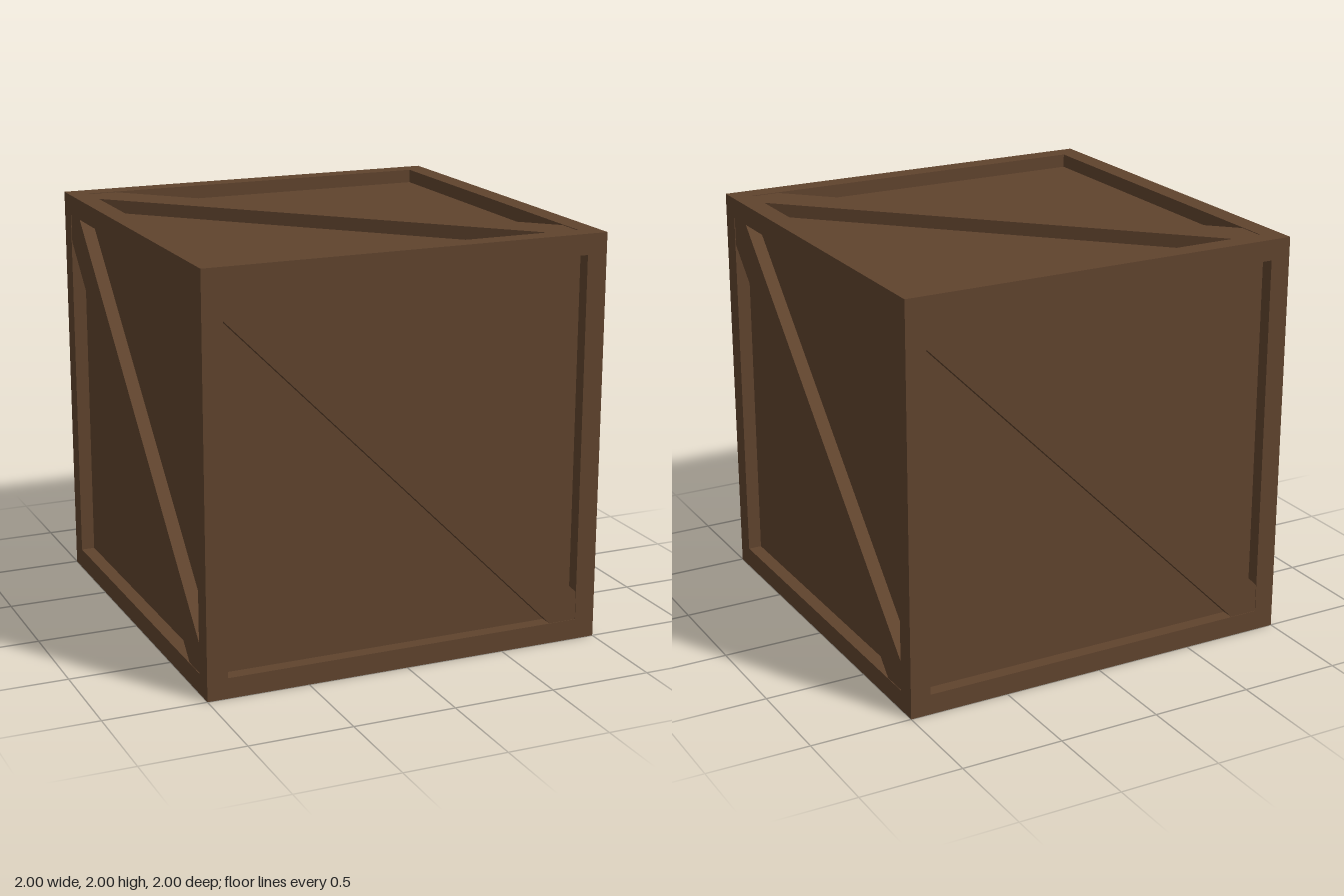
import * as THREE from 'three';

const HALF = 1;        // half the crate's size
const BEAM = 0.1;      // width of the frame beams
const RECESS = 0.067;  // depth of the panels behind the frame
const INNER = HALF - BEAM;

export function createModel() {
  const crate = new THREE.Group();
  crate.name = 'crate';
  const wood = new THREE.MeshStandardMaterial({ color: 0x5f432d });
  wood.name = 'brown wood';

  const add = (geometry, name, parent = crate) => {
    const mesh = new THREE.Mesh(geometry, wood);
    mesh.name = name;
    parent.add(mesh);
    return mesh;
  };

  // Inner box: its six sides are the recessed panels
  const core = 2 * (HALF - RECESS);
  add(new THREE.BoxGeometry(core, core, core), 'panels').position.y = HALF;

  // Frame: full-height posts, with rails fitted between them
  const c = HALF - BEAM / 2;
  for (const a of [-c, c]) {
    for (const b of [-c, c]) {
      add(new THREE.BoxGeometry(BEAM, 2 * HALF, BEAM), 'cornerPost').position.set(a, HALF, b);
      add(new THREE.BoxGeometry(2 * INNER, BEAM, BEAM), 'crossRail').position.set(0, HALF + a, b);
      add(new THREE.BoxGeometry(BEAM, BEAM, 2 * INNER), 'sideRail').position.set(a, HALF + b, 0);
    }
  }

  // Diagonal plank, trimmed to the corners of the frame opening
  const cut = INNER - 0.14;
  const outline = new THREE.Shape([
    [-INNER, INNER], [-INNER, cut], [cut, -INNER],
    [INNER, -INNER], [INNER, -cut], [-cut, INNER],
  ].map(([x, y]) => new THREE.Vector2(x, y)));
  const plank = new THREE.ExtrudeGeometry(outline, { depth: RECESS - 0.003, bevelEnabled: false });
  plank.translate(0, 0, HALF - RECESS);

  // One plank on each of the six sides
  const q = Math.PI / 2;
  const sides = {
    front: [0, 0], right: [0, q], back: [0, 2 * q], left: [0, -q], top: [-q, 0], bottom: [q, 0],
  };
  for (const [side, [rx, ry]] of Object.entries(sides)) {
    const mesh = add(plank, side + 'DiagonalPlank');
    mesh.position.y = HALF;
    mesh.rotation.set(rx, ry, 0);
  }
  return crate;
}
